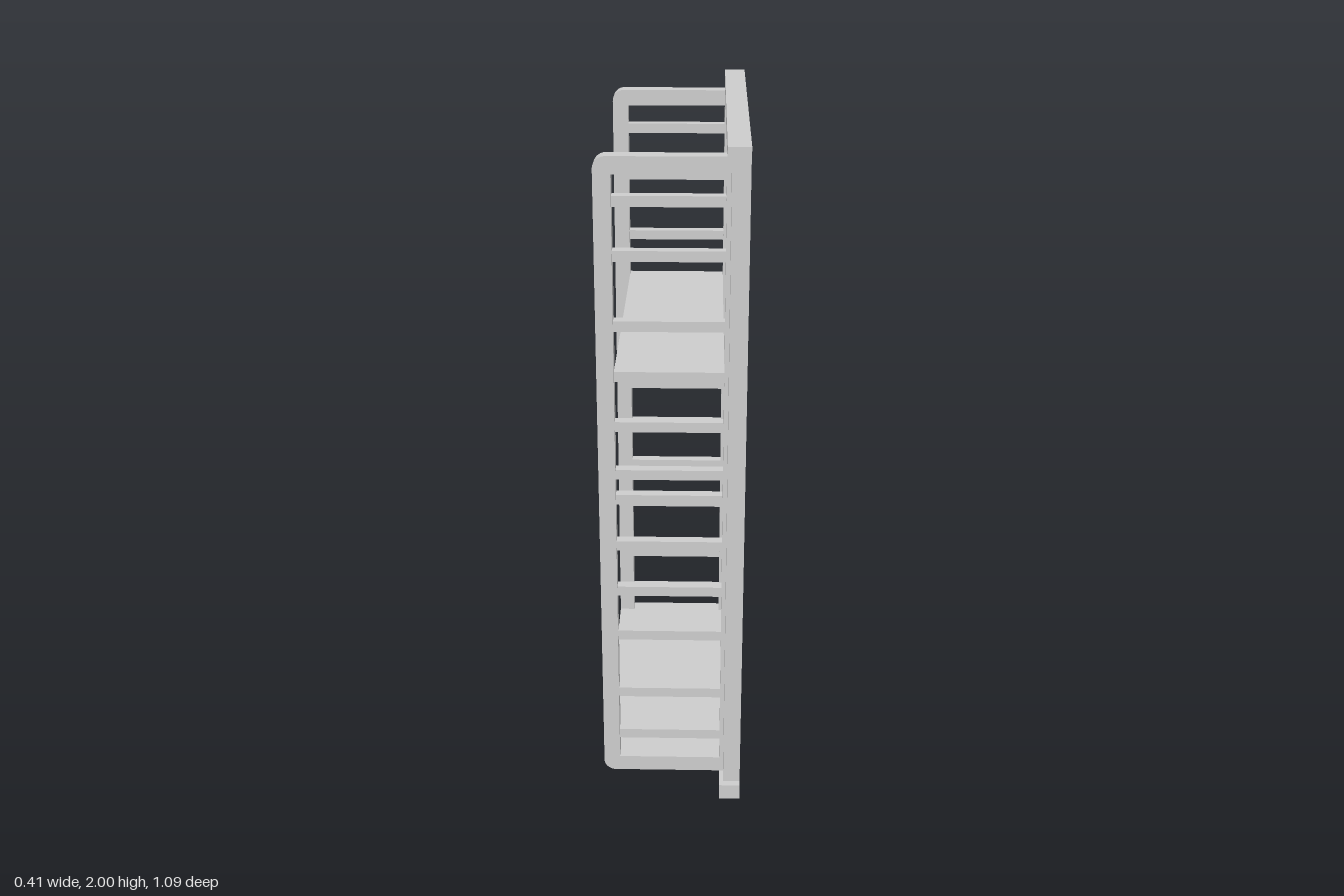
import * as THREE from 'three';

const material = new THREE.MeshStandardMaterial({ color: 0xcccccc });
const BACK = -0.208, FRONT = 0.206, POST = 0.156, INNER = 0.144; // x stations
const LOW = 0.048, HIGH = 1.957, BAR = 0.048, RADIUS = 0.035;
const SIDE_IN = 0.425, SIDE_OUT = 0.472; // z extent of a side frame

export function createModel() {
  const group = new THREE.Group();

  const add = (name, geometry) => {
    const mesh = new THREE.Mesh(geometry, material);
    mesh.name = name;
    group.add(mesh);
    return mesh;
  };
  // Box given by its limits on each axis
  const box = (name, x0, x1, y0, y1, z0, z1) =>
    add(name, new THREE.BoxGeometry(x1 - x0, y1 - y0, z1 - z0))
      .position.set((x0 + x1) / 2, (y0 + y1) / 2, (z0 + z1) / 2);
  // Profile in x and y, extruded between two z limits
  const slab = (name, shape, z0, z1) =>
    add(name, new THREE.ExtrudeGeometry(shape, { depth: z1 - z0, bevelEnabled: false, curveSegments: 8 }))
      .position.z = z0;

  // Front frame: long top and bottom rails
  box('bottomRail', INNER, FRONT, 0, LOW, -0.547, 0.547);
  box('topRail', INNER, FRONT, HIGH, 2, -0.547, 0.547);

  // Side frame outline: rounded at the back, square against the front post
  const frame = new THREE.Shape();
  frame.moveTo(POST, LOW);
  frame.lineTo(POST, HIGH);
  frame.lineTo(BACK + RADIUS, HIGH);
  frame.absarc(BACK + RADIUS, HIGH - RADIUS, RADIUS, Math.PI / 2, Math.PI, false);
  frame.lineTo(BACK, LOW + RADIUS);
  frame.absarc(BACK + RADIUS, LOW + RADIUS, RADIUS, Math.PI, Math.PI * 1.5, false);
  frame.closePath();
  const opening = new THREE.Path();
  opening.moveTo(BACK + BAR, LOW + BAR);
  opening.lineTo(BACK + BAR, HIGH - BAR);
  opening.lineTo(INNER, HIGH - BAR);
  opening.lineTo(INNER, LOW + BAR);
  opening.closePath();
  frame.holes.push(opening);

  // Slat heights; the shelf takes the place of the slat at 1.34
  const slats = [0.174, 0.322, 0.52, 0.668, 0.817, 0.965, 1.043, 1.19, 1.487, 1.685, 1.835];

  for (const [side, s] of [['left', 1], ['right', -1]].map(([n, v]) => [n === 'left' ? 'front' : 'rear', v])) {
    const span = (a, b) => (s > 0 ? [a, b] : [-b, -a]);
    box(side + 'Post', POST, FRONT, LOW, HIGH, ...span(0.428, 0.525));
    slab(side + 'SideFrame', frame, ...span(SIDE_IN, SIDE_OUT));
    for (const y of slats) {
      box(side + 'Slat', BACK + BAR, INNER, y - 0.015, y + 0.015, ...span(0.433, 0.464));
    }
  }

  // Upper shelf between the side frames
  box('shelf', BACK + BAR, INNER, 1.325, 1.355, -0.464, 0.464);

  // Bottom panel, following the rounded corner of the side frames
  const panel = new THREE.Shape();
  panel.moveTo(POST, LOW);
  panel.lineTo(POST, LOW + BAR);
  panel.lineTo(BACK, LOW + BAR);
  panel.lineTo(BACK, LOW + RADIUS);
  panel.absarc(BACK + RADIUS, LOW + RADIUS, RADIUS, Math.PI, Math.PI * 1.5, false);
  panel.closePath();
  slab('bottomPanel', panel, -SIDE_IN, SIDE_IN);

  return group;
}
